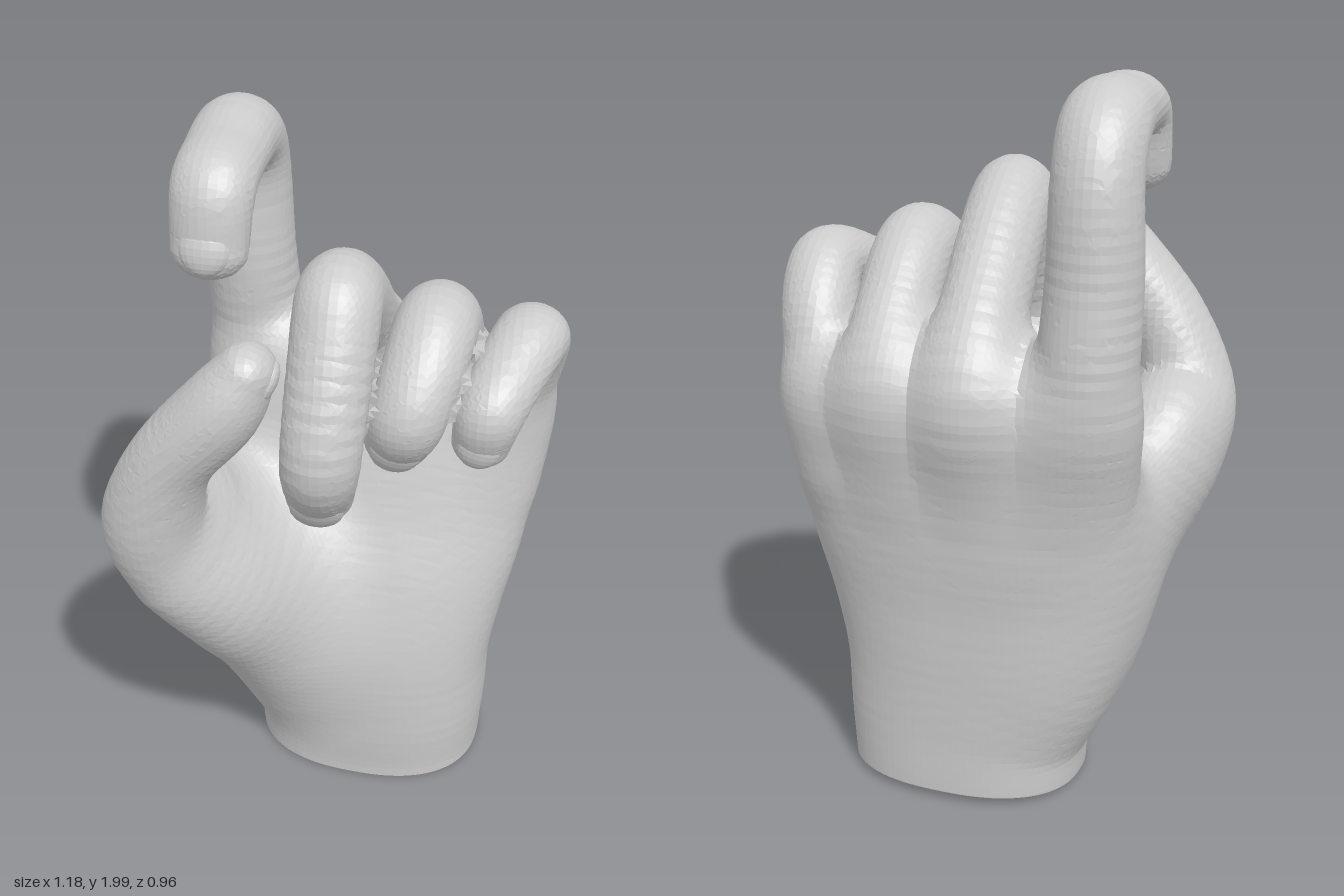
import * as THREE from 'three';

const material = new THREE.MeshStandardMaterial({ color: 0xcccccc, flatShading: true, side: THREE.DoubleSide });
const V = (x, y, z) => new THREE.Vector3(x, y, z);

// Signed distance to a limb swept through stations [x, y, z, radius along "across", other radius]
function limb(stations, { across = V(1, 0, 0), steps = 7, power = 2 } = {}) {
  const path = new THREE.CatmullRomCurve3(stations.map(s => V(s[0], s[1], s[2])), false, 'catmullrom');
  const size = new THREE.CatmullRomCurve3(stations.map(s => V(s[3], s[4], 0)), false, 'catmullrom');
  const box = new THREE.Box3(), rings = [];
  const count = (stations.length - 1) * steps;
  for (let i = 0; i <= count; i++) {
    const center = path.getPoint(i / count), along = path.getTangent(i / count), r = size.getPoint(i / count);
    const u = across.clone().addScaledVector(along, -across.dot(along)).normalize();
    rings.push({ center, u, v: along.clone().cross(u), along, ru: r.x, rv: r.y, rw: Math.min(r.x, r.y) });
    box.expandByPoint(center.clone().addScalar(Math.max(r.x, r.y)));
    box.expandByPoint(center.clone().addScalar(-Math.max(r.x, r.y)));
  }
  box.expandByScalar(0.25);
  const d = V(0, 0, 0);
  return p => {
    if (!box.containsPoint(p)) return 1;
    let best = 1;
    for (const { center, u, v, along, ru, rv, rw } of rings) {
      d.subVectors(p, center);
      const q = (Math.abs(d.dot(u) / ru) ** power + Math.abs(d.dot(v) / rv) ** power
        + Math.abs(d.dot(along) / rw) ** power) ** (1 / power);
      best = Math.min(best, d.length() * (1 - 1 / Math.max(q, 1e-4)));
    }
    return best;
  };
}

// Union of two distances with a soft fillet of width k
const blend = (a, b, k) => Math.min(a, b) - Math.max(k - Math.abs(a - b), 0) ** 2 / (4 * k);

// Skin of a distance field over a grid: one vertex per crossed cell, one quad per crossed edge
function skin(field, min, cells, step) {
  const stride = [(cells[1] + 1) * (cells[2] + 1), cells[2] + 1, 1];
  const at = (i, j, k) => V(min.x + i * step, min.y + j * step, min.z + k * step);
  const eachPoint = visit => {
    for (let i = 0; i <= cells[0]; i++) for (let j = 0; j <= cells[1]; j++) for (let k = 0; k <= cells[2]; k++) {
      visit([i, j, k], i * stride[0] + j * stride[1] + k);
    }
  };
  const value = new Float32Array((cells[0] + 1) * stride[0]);
  eachPoint((c, id) => { value[id] = field(at(...c)); });

  const vertices = new Map(), quads = [];
  const corner = n => [n & 1, (n >> 1) & 1, (n >> 2) & 1];
  const offset = n => corner(n).reduce((sum, bit, axis) => sum + bit * stride[axis], 0);
  eachPoint((c, id) => {
    if (c.some((x, axis) => x === cells[axis])) return;
    const sum = V(0, 0, 0);
    let hits = 0;
    for (let n = 0; n < 8; n++) for (const bit of [1, 2, 4]) {
      if (n & bit) continue;
      const a = value[id + offset(n)], b = value[id + offset(n | bit)];
      if ((a < 0) === (b < 0)) continue;
      sum.add(V(...corner(n)).lerp(V(...corner(n | bit)), a / (a - b)));
      hits++;
    }
    if (!hits) return;
    const p = at(...c).addScaledVector(sum, step / hits), e = 0.004;
    // pull the vertex onto the surface
    for (let pass = 0; pass < 2; pass++) {
      const f = field(p);
      const slope = V(field(V(p.x + e, p.y, p.z)) - f, field(V(p.x, p.y + e, p.z)) - f, field(V(p.x, p.y, p.z + e)) - f);
      slope.divideScalar(e);
      const move = -f / Math.max(slope.lengthSq(), 0.3);
      p.addScaledVector(slope, THREE.MathUtils.clamp(move, -step / 2, step / 2));
    }
    if (c[1] === 0) p.y = 0.012 - 0.05 * Math.min(p.z, 0.15);
    vertices.set(id, p);
  });
  eachPoint((c, id) => {
    for (let a = 0; a < 3; a++) {
      const b = (a + 1) % 3, d = (a + 2) % 3;
      if (c[a] === cells[a] || !c[b] || !c[d] || c[b] === cells[b] || c[d] === cells[d]) continue;
      if ((value[id] < 0) === (value[id + stride[a]] < 0)) continue;
      const quad = [id, id - stride[b], id - stride[b] - stride[d], id - stride[d]].map(n => vertices.get(n));
      quads.push(value[id] < 0 ? quad : quad.reverse());
    }
  });
  return quads;
}

// Shallow nail plate set into the last joint of a finger
function nail(name, stations, normal) {
  const tip = stations.at(-1), before = stations.at(-2);
  const along = V(tip[0] - before[0], tip[1] - before[1], tip[2] - before[2]).normalize();
  const out = normal.clone().addScaledVector(along, -normal.dot(along)).normalize();
  const r = Math.min(tip[3], tip[4]);
  const mesh = new THREE.Mesh(new THREE.SphereGeometry(1, 20, 12), material);
  mesh.quaternion.setFromRotationMatrix(new THREE.Matrix4().makeBasis(along.clone().cross(out), along, out));
  mesh.scale.set(r * 0.85, r * 0.9, 0.035);
  mesh.position.set(tip[0], tip[1], tip[2]).addScaledVector(out, r - 0.028).addScaledVector(along, -0.1 * r);
  mesh.name = name;
  return mesh;
}

// Palm and wrist
const palm = limb([
  [0.075, -0.1, -0.11, 0.332, 0.256],
  [0.075, 0.05, -0.11, 0.335, 0.258],
  [0.07, 0.2, -0.105, 0.35, 0.265],
  [0.035, 0.4, -0.11, 0.395, 0.27],
  [0.035, 0.6, -0.135, 0.43, 0.25],
  [0.05, 0.8, -0.18, 0.46, 0.22],
  [0.06, 1.0, -0.22, 0.475, 0.195],
  [0.065, 1.13, -0.245, 0.47, 0.175],
  [0.07, 1.22, -0.25, 0.42, 0.11],
], { across: V(1, 0, 0.08), steps: 6, power: 2.4 });

// Digits, each from inside the palm to the tip, with nail direction and fillet width at the palm
const digits = {
  thumb: { normal: V(1, 0, -0.2), fillet: 0.22, across: V(-0.2, 0, 1), stations: [
    [-0.14, 0.4, -0.04, 0.17, 0.14],
    [-0.2, 0.52, 0.01, 0.22, 0.18],
    [-0.28, 0.7, 0.1, 0.26, 0.2],
    [-0.4, 0.89, 0.21, 0.24, 0.175],
    [-0.445, 1.03, 0.32, 0.15, 0.14],
    [-0.38, 1.23, 0.36, 0.12, 0.11],
    [-0.245, 1.4, 0.37, 0.115, 0.105],
    [-0.175, 1.51, 0.36, 0.09, 0.075],
  ] },
  indexFinger: { normal: V(0, 0.1, 1), fillet: 0.12, stations: [
    [-0.23, 0.95, -0.24, 0.1, 0.1],
    [-0.285, 1.2, -0.315, 0.13, 0.13],
    [-0.305, 1.5, -0.3, 0.124, 0.13],
    [-0.305, 1.77, -0.285, 0.115, 0.115],
    [-0.305, 1.885, -0.2, 0.115, 0.105],
    [-0.305, 1.895, -0.03, 0.11, 0.088],
    [-0.305, 1.865, 0.1, 0.108, 0.09],
    [-0.31, 1.725, 0.143, 0.1, 0.08],
  ] },
  middleFinger: { normal: V(0, -0.5, 0.8), fillet: 0.12, stations: [
    [0.01, 0.95, -0.25, 0.1, 0.1],
    [0.0, 1.22, -0.345, 0.12, 0.12],
    [0.01, 1.44, -0.12, 0.115, 0.13],
    [0.015, 1.6, 0.11, 0.112, 0.12],
    [0.015, 1.54, 0.21, 0.112, 0.11],
    [0.0, 1.26, 0.33, 0.105, 0.1],
    [-0.02, 1.09, 0.24, 0.093, 0.085],
  ] },
  ringFinger: { normal: V(0, -0.2, 1), fillet: 0.12, stations: [
    [0.21, 0.95, -0.24, 0.1, 0.1],
    [0.24, 1.21, -0.3, 0.11, 0.11],
    [0.25, 1.4, -0.13, 0.11, 0.115],
    [0.25, 1.49, 0.02, 0.11, 0.11],
    [0.235, 1.44, 0.14, 0.108, 0.1],
    [0.205, 1.33, 0.215, 0.1, 0.095],
    [0.175, 1.24, 0.18, 0.09, 0.08],
  ] },
  littleFinger: { normal: V(-0.1, -0.1, 1), fillet: 0.12, stations: [
    [0.4, 0.95, -0.2, 0.09, 0.1],
    [0.44, 1.15, -0.195, 0.1, 0.12],
    [0.475, 1.33, -0.145, 0.105, 0.11],
    [0.49, 1.445, -0.04, 0.1, 0.09],
    [0.45, 1.41, 0.08, 0.095, 0.085],
    [0.41, 1.34, 0.175, 0.088, 0.085],
    [0.39, 1.25, 0.17, 0.078, 0.07],
  ] },
};

export function createModel() {
  const hand = new THREE.Group();
  hand.name = 'hand';
  const parts = Object.entries(digits).map(([name, { stations, normal, fillet, across }]) => {
    hand.add(nail(name + 'Nail', stations, normal));
    return { name, fillet, distance: limb(stations, { across }), corners: [] };
  });
  const palmPart = { name: 'palm', distance: palm, corners: [] };

  // One continuous skin: every digit melts into the palm, but not into its neighbours
  const field = p => {
    const base = palm(p);
    return Math.min(...parts.map(part => blend(base, part.distance(p), part.fillet)));
  };
  const quads = skin(field, V(-0.66, 0, -0.55), [60, 94, 50], 0.022);

  // Divide the skin into named parts by the nearest limb
  for (const [a, b, c, d] of quads) {
    const near = [palmPart, ...parts].map(part => part.distance(a));
    const owner = [palmPart, ...parts][near.indexOf(Math.min(...near))];
    owner.corners.push(a, b, c, a, c, d);
  }
  for (const { name, corners } of [palmPart, ...parts]) {
    const geometry = new THREE.BufferGeometry().setFromPoints(corners);
    geometry.computeVertexNormals();
    const mesh = new THREE.Mesh(geometry, material);
    mesh.name = name;
    hand.add(mesh);
  }
  return hand;
}
